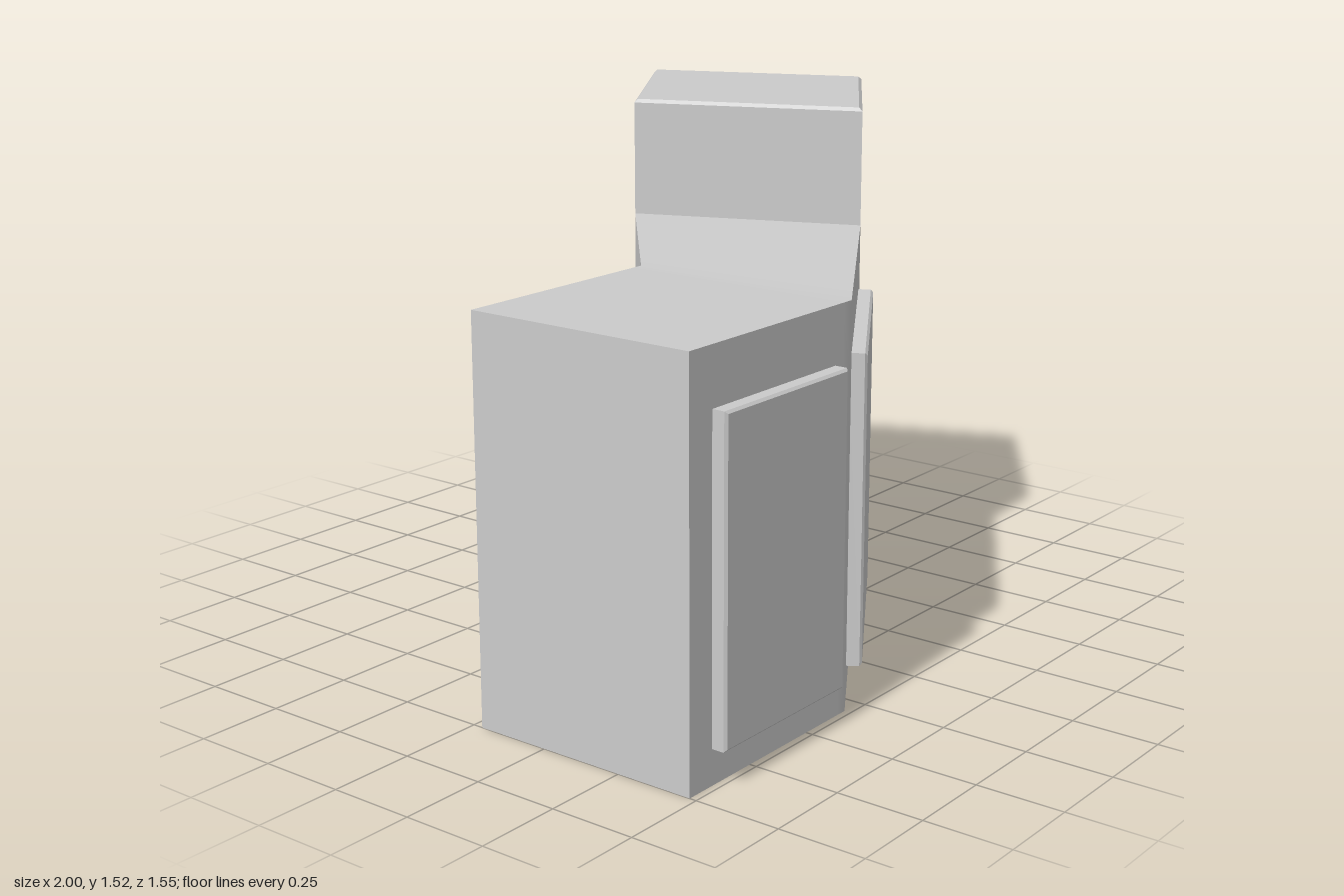
import * as THREE from 'three';
import { toCreasedNormals } from 'three/addons/utils/BufferGeometryUtils.js';

const material = new THREE.MeshStandardMaterial({ color: 0xcccccc });

// Skin a series of rings (each counter-clockwise seen from the far end) and cap both ends.
function loft(name, rings) {
  const pos = [];
  const tri = (a, b, c) => {
    if (new THREE.Triangle(a, b, c).getArea() > 1e-7) {
      for (const p of [a, b, c]) pos.push(p.x, p.y, p.z);
    }
  };
  const n = rings[0].length;
  for (let k = 0; k < rings.length - 1; k++) {
    const a = rings[k], b = rings[k + 1];
    for (let i = 0; i < n; i++) {
      const j = (i + 1) % n;
      tri(a[i], a[j], b[j]);
      tri(a[i], b[j], b[i]);
    }
  }
  const first = rings[0], last = rings[rings.length - 1];
  for (let i = 1; i < n - 1; i++) {
    tri(first[0], first[i + 1], first[i]);
    tri(last[0], last[i], last[i + 1]);
  }
  const geometry = new THREE.BufferGeometry();
  geometry.setAttribute('position', new THREE.Float32BufferAttribute(pos, 3));
  const mesh = new THREE.Mesh(toCreasedNormals(geometry, 0.73), material);
  mesh.name = name;
  return mesh;
}

// A station is [frontX, frontZ, backX, backZ, bottom, top].
const mix = (a, b, t) => a.map((v, i) => v + (b[i] - v) * t);

// Cross-section of the body at a station, with an optional chamfer r along its top edges.
function section([fx, fz, bx, bz, bottom, top], r = 0) {
  const front = (y) => new THREE.Vector3(fx, y, fz);
  const back = (y) => new THREE.Vector3(bx, y, bz);
  const inward = back(0).sub(front(0)).setLength(r);
  return [
    front(bottom), back(bottom), back(top - r),
    back(top).sub(inward), front(top).add(inward), front(top - r),
  ];
}

// Raised door on a front wall: left and right edges are [x, z, bottom, top].
function door(name, left, right, depth, bevel) {
  const along = new THREE.Vector3(right[0] - left[0], 0, right[1] - left[1]).normalize();
  const out = new THREE.Vector3(-along.z, 0, along.x);
  const ring = (offset, inset) => [[left, 2, 1], [right, 2, -1], [right, 3, -1], [left, 3, 1]].map(
    ([edge, h, side]) => new THREE.Vector3(edge[0], edge[h] + (h === 2 ? inset : -inset), edge[1])
      .addScaledVector(along, side * inset)
      .addScaledVector(out, offset));
  return loft(name, [ring(-0.01, 0), ring(depth - bevel, 0), ring(depth, bevel)]);
}

export function createModel() {
  const group = new THREE.Group();
  group.name = 'angledCabinet';

  // Low wing, bend, step and tower in one continuous skin
  const end = [-1, 0.73, -1, 0.03, 0, 1.14];
  const bend = [-0.32, 0.73, -0.32, 0.03, 0, 1.14];
  const step = [0.385, 0.285, 0.13, -0.36, 0.035, 1.175];
  const r = 0.01;
  const withTop = (s, top) => [...s.slice(0, 5), top];
  const towerNear = withTop(step, 1.52);
  const towerFar = [1, -0.13, 0.74, -0.775, 0.035, 1.52];
  group.add(loft('body', [
    section(end),
    section(mix(end, bend, 0.95)),
    section(bend),
    section(mix(bend, step, 0.12)),
    section(step),
    section(withTop(towerNear, 1.52 - r)),
    section(mix(towerNear, towerFar, 0.014), r),
    section(mix(towerNear, towerFar, 0.986), r),
    section(withTop(towerFar, 1.52 - r)),
  ]));

  // Doors on the straight wing and on the angled wing
  group.add(door('straightDoor', [-0.91, 0.73, 0.1, 0.98], [-0.39, 0.73, 0.1, 0.98], 0.043, 0.007));
  group.add(door('angledDoor', [-0.255, 0.69, 0.1, 0.98], [0.292, 0.345, 0.13, 1.008], 0.042, 0.007));

  return group;
}
